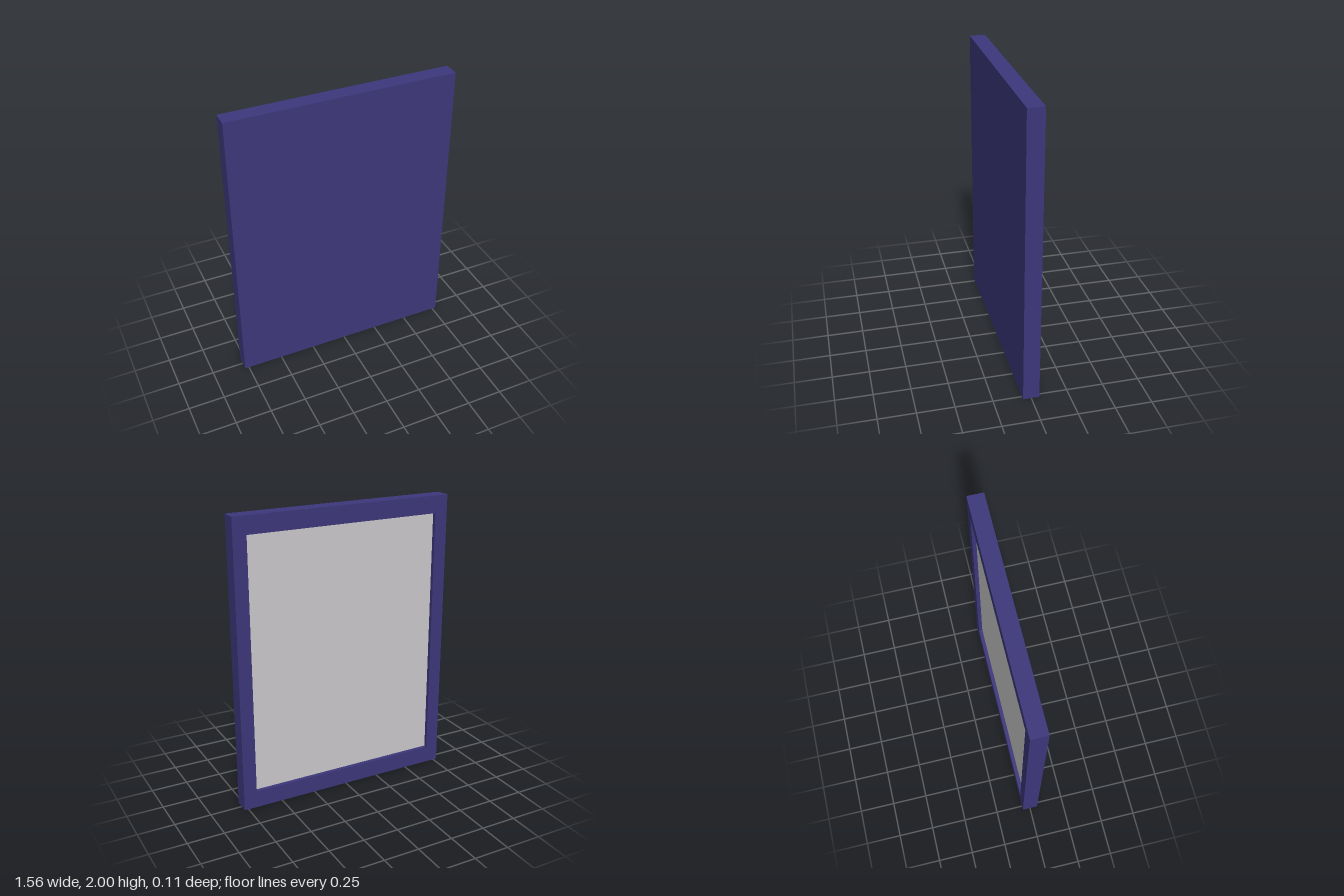
import * as THREE from 'three';

const W = 1.556, H = 2, D = 0.11;   // overall size
const SIDE = 0.092, RAIL = 0.12;    // border widths
const RECESS = 0.03;                // depth of the back recess

export function createModel() {
  const purple = new THREE.MeshStandardMaterial({ color: 0x3d377b });
  purple.name = 'purple frame';
  const grey = new THREE.MeshStandardMaterial({ color: 0xcbc9cb });
  grey.name = 'light grey panel';

  const model = new THREE.Group();
  model.name = 'framedPanel';
  const add = (name, geometry, material, z) => {
    const mesh = new THREE.Mesh(geometry, material);
    mesh.name = name;
    mesh.position.set(0, H / 2, z);
    model.add(mesh);
  };
  const rectangle = (path, w, h) => path
    .moveTo(-w / 2, -h / 2).lineTo(w / 2, -h / 2)
    .lineTo(w / 2, h / 2).lineTo(-w / 2, h / 2).closePath();

  // Solid front slab
  add('frontSlab', new THREE.BoxGeometry(W, H, D - RECESS), purple, RECESS / 2);

  // Raised border around the back
  const w = W - 2 * SIDE, h = H - 2 * RAIL;
  const border = rectangle(new THREE.Shape(), W, H);
  border.holes.push(rectangle(new THREE.Path(), w, h));
  add('backBorder',
    new THREE.ExtrudeGeometry(border, { depth: RECESS, bevelEnabled: false }),
    purple, -D / 2);

  // Thin panel on the floor of the recess
  add('backPanel', new THREE.BoxGeometry(w, h, 0.004), grey, -D / 2 + RECESS - 0.001);

  return model;
}
